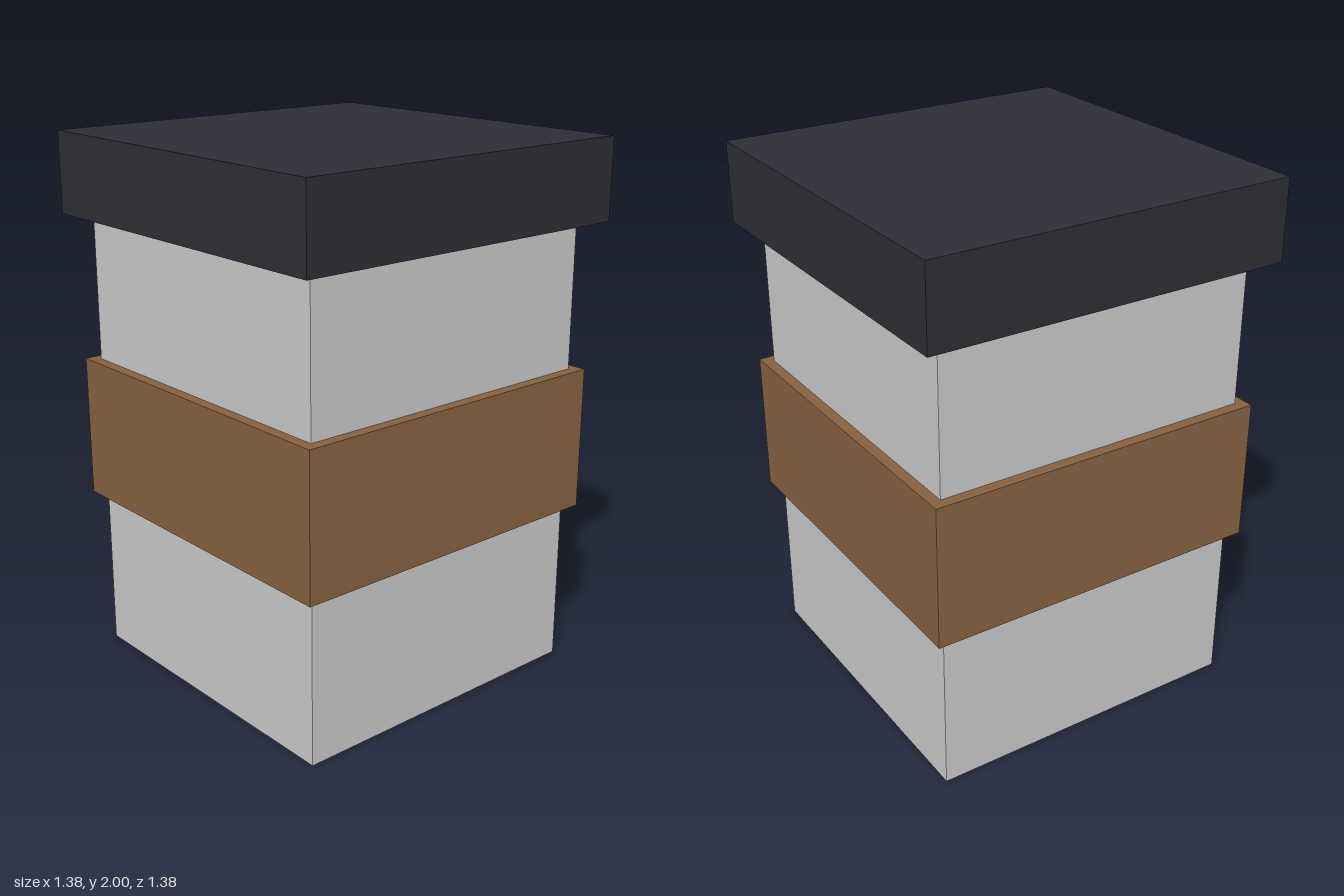
import * as THREE from 'three';

const mat = (name, color) => {
  const m = new THREE.MeshStandardMaterial({ color });
  m.name = name;
  return m;
};

export function createModel() {
  const group = new THREE.Group();
  group.name = 'lidded square cup';

  // Square block of a given width between two heights
  const block = (name, width, bottom, top, material) => {
    const mesh = new THREE.Mesh(new THREE.BoxGeometry(width, top - bottom, width), material);
    mesh.name = name;
    mesh.position.y = (bottom + top) / 2;
    group.add(mesh);
  };

  block('body', 1.224, 0, 1.7, mat('pale grey', 0xc9c9c9));
  block('sleeve', 1.306, 0.62, 1.155, mat('brown', 0x876140));
  block('lid', 1.384, 1.7, 2, mat('charcoal', 0x2d2d36));

  return group;
}
